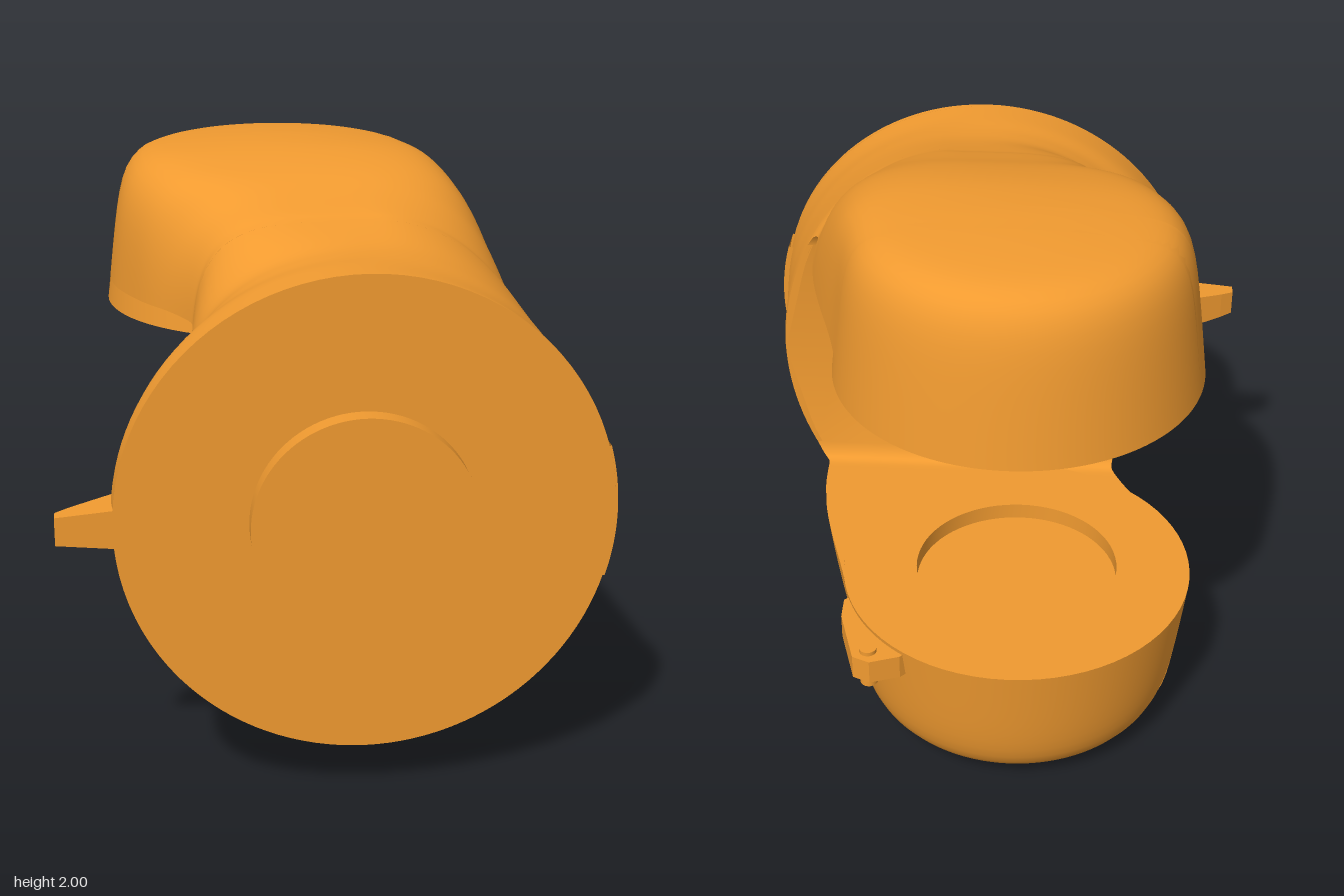
import * as THREE from 'three';
import { toCreasedNormals } from 'three/addons/utils/BufferGeometryUtils.js';
import { ConvexGeometry } from 'three/addons/geometries/ConvexGeometry.js';

const MID = 0.987;              // height of the flange axis
const FLANGE_R = 0.805;
const END_X = -0.11, END_Z = -0.347;
// Fork end section: half width at the axis, squareness, taper, crown
const END = { a: 0.674, n: 12, taper: 0.18, crown: 0.05 };

// Stations from flange to fork: left x, right x, z | bulge (0..1), squareness left, right | taper, crown
const STATIONS = [
  [-0.725, 0.885, 0.9, 0, 2, 2, 0, 0],
  [-0.722, 0.87, 0.77, 0, 2, 2, 0, 0],
  [-0.61, 0.855, 0.66, 0, 2.3, 2, 0, 0],
  [-0.505, 0.84, 0.55, 0.05, 3, 1.95, 0, 0],
  [-0.455, 0.82, 0.39, 0.23, 5, 1.9, 0, 0],
  [-0.465, 0.765, 0.33, 0.33, 5, 2.1, 0, 0],
  [-0.535, 0.71, 0.2, 0.52, 5, 2.8, 0.01, 0.01],
  [-0.64, 0.67, 0.05, 0.75, 7, 4, 0.05, 0.02],
  [-0.745, 0.63, -0.15, 0.94, 9, 7, 0.12, 0.04],
  [-0.785, 0.587, -0.347, 1, END.n, END.n, END.taper, END.crown],
  [-0.763, 0.543, -0.5, 0.985, END.n, END.n, END.taper, END.crown],
];
const WALL = 4;                 // station of the web's back wall
const STEPS = 5;                // samples per station
const FILLET = 0.06;
const curve = k => new THREE.CatmullRomCurve3(
  STATIONS.map(s => new THREE.Vector3(s[k], s[k + 1], s[k + 2] ?? 0)), false, 'catmullrom');

// One side of a section, from height base up to the top centre: tapered, crowned superellipse
function sideCurve({ a, n, taper, crown }, b, base, count) {
  const s0 = Math.min(1, base / (b * (1 - crown)));
  const start = Math.atan2(s0, (1 - s0 ** n) ** (1 / n));
  return Array.from({ length: count + 1 }, (_, i) => {
    const phi = start + (Math.PI / 2 - start) * i / count;
    const c = i === count ? 0 : Math.cos(phi), s = Math.sin(phi);
    const r = (c ** n + s ** n) ** (-1 / n);
    const y = i === 0 ? base : b * r * s * (1 - crown * (r * c) ** 2);
    return [a * r * c * (1 - taper * y / b), y];
  });
}

// Mirrors if wanted, lifts to the axis and sharpens edges
function finish(geo, mirrored) {
  if (mirrored) {
    geo.scale(1, -1, 1);
    const ix = geo.index.array;
    for (let i = 0; i < ix.length; i += 3) [ix[i + 1], ix[i + 2]] = [ix[i + 2], ix[i + 1]];
  }
  geo.translate(0, MID, 0);
  return toCreasedNormals(geo, 0.6);
}

// Half of the body: flange, half web and one fork arm
function halfBody(peak, neck, mirrored) {
  const plan = curve(0), form = curve(3), slope = curve(6);
  const SIDE = 30, FLAT = 6, total = (STATIONS.length - 1) * STEPS;
  const pos = [], index = [];
  let rows = 0;
  const addRow = (t, base) => {
    const p = plan.getPoint(t), f = form.getPoint(t), g = slope.getPoint(t);
    const xc = (p.x + p.y) / 2, b = FLANGE_R + (peak - FLANGE_R) * f.x;
    const half = n => sideCurve({ a: (p.y - p.x) / 2, n, taper: g.x, crown: g.y }, b, base, SIDE);
    const pts = half(f.y).map(q => [xc - q[0], q[1]]);
    pts.push(...half(f.z).reverse().slice(1).map(q => [xc + q[0], q[1]]));
    const l = pts[0], r = pts[2 * SIDE];
    for (let k = 1; k <= FLAT; k++) pts.push([THREE.MathUtils.lerp(r[0], l[0], k / FLAT), base]);
    pts.forEach(q => pos.push(q[0], q[1], p.z));
    rows++;
  };
  for (let i = 0; i <= total; i++) {
    const t = i / total;
    if (i <= WALL * STEPS) addRow(t, 0);
    if (i >= WALL * STEPS) {
      const d = Math.min(FILLET, Math.max(0, plan.getPoint(t).z - 0.39 + FILLET));
      addRow(t, neck - FILLET + Math.sqrt(FILLET ** 2 - d ** 2));
    }
  }
  const w = 2 * SIDE + FLAT + 1;
  for (let i = 0; i < rows - 1; i++) for (let j = 0; j < w - 1; j++) {
    const a = i * w + j, c = a + w;
    index.push(a, a + 1, c, a + 1, c + 1, c);
  }
  const geo = new THREE.BufferGeometry();
  geo.setAttribute('position', new THREE.Float32BufferAttribute(pos, 3));
  geo.setIndex(index);
  return finish(geo, mirrored);
}

// Turned part on the fork axis
function turned(profile, mirrored, start, sweep) {
  const geo = new THREE.LatheGeometry(profile.map(p => new THREE.Vector2(p[0], p[1])), 72, start, sweep);
  geo.translate(END_X, 0, END_Z);
  return finish(geo, mirrored);
}

// Disc or disc sector facing forward
function disc(r, x, z0, z1, start = 0, sweep = Math.PI * 2) {
  const geo = new THREE.CylinderGeometry(r, r, z1 - z0, 96, 1, false, start, sweep);
  return geo.rotateX(Math.PI / 2).translate(x, MID, (z0 + z1) / 2);
}

export function createModel() {
  const group = new THREE.Group();
  const material = new THREE.MeshStandardMaterial({ color: 0xf09a30, side: THREE.DoubleSide });
  const add = (name, geo) => {
    const mesh = new THREE.Mesh(geo, material);
    mesh.name = name;
    group.add(mesh);
    return mesh;
  };

  // Yoke halves: body, rounded fork end and recessed bearing seat
  for (const [side, peak, neck, pad, mirrored] of [['upper', 1.013, 0.51, 0.423, false], ['lower', 0.987, 0.49, 0.427, true]]) {
    const wall = sideCurve(END, peak, pad, 36);
    const rim = wall[0][0];
    add(side + 'Body', halfBody(peak, neck, mirrored));
    add(side + 'ForkEnd', turned(wall, mirrored, Math.PI / 2, Math.PI));
    add(side + 'BearingSeat', turned(
      [[0, pad + 0.06], [0.36, pad + 0.06], [0.36, pad], [rim, pad], [rim - 0.015, pad + 0.1]], mirrored, 0, Math.PI * 2));
  }

  // Mounting flange face and its centre boss
  add('flange', disc(FLANGE_R, 0.08, 0.88, 0.9));
  add('boss', disc(0.365, 0.07, 0.88, 0.97));

  // Raised band and small stud on the flange rim
  add('rimBand', disc(0.812, 0.08, 0.79, 0.899, Math.PI / 2 - 0.28, 0.56));
  add('rimStud', new THREE.OctahedronGeometry(0.032)).position.set(0.87, 0.985, 0.825);

  // Tapered pointer on the flange rim
  const tab = [];
  for (const s of [-1, 1]) {
    for (const [x, z, h] of [[-0.905, 0.9, 0.047], [-0.905, 0.855, 0.047], [-0.86, 0.825, 0.052], [-0.7, 0.74, 0.068], [-0.68, 0.9, 0.068]])
      tab.push(new THREE.Vector3(x, 0.985 + s * h, z));
  }
  add('pointer', new ConvexGeometry(tab));

  // Oval foot under the body
  const foot = add('foot', new THREE.CylinderGeometry(0.18, 0.18, 0.12, 40));
  foot.scale.z = 0.41;
  foot.position.set(0.07, 0.18, 0.57);

  // Latch and its pin on the side of the lower fork end
  const outline = [[0.2, -0.8], [0.26, -0.86], [0.36, -0.895], [0.42, -0.87], [0.485, -0.66], [0.487, -0.57], [0.4, -0.5]];
  const latch = new THREE.ExtrudeGeometry(
    new THREE.Shape(outline.map(([x, z]) => new THREE.Vector2(x, -z))), { depth: 0.09, bevelEnabled: false });
  add('latch', latch.rotateX(-Math.PI / 2).translate(0, 0.455, 0));
  add('latchPin', new THREE.CylinderGeometry(0.03, 0.03, 0.15, 20)).position.set(0.37, 0.485, -0.835);

  return group;
}
